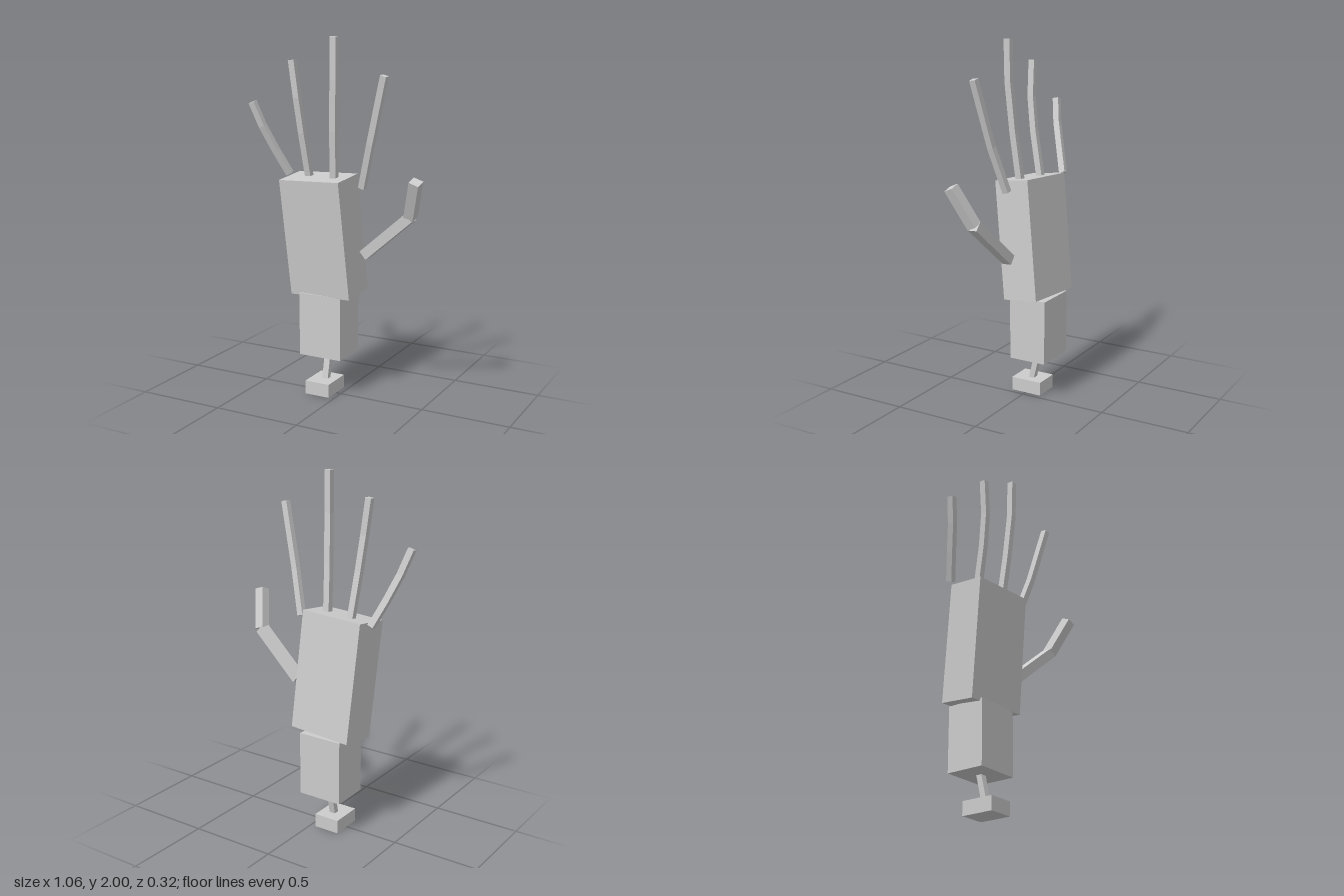
import * as THREE from 'three';

const material = new THREE.MeshStandardMaterial({ color: 0xcccccc, flatShading: true });

// Box running from point a to point b, with its depth side turned towards `facing`
function beam(name, a, b, width, depth, facing = [0, 0, 1], overlap = 0) {
  const start = new THREE.Vector3(...a);
  const end = new THREE.Vector3(...b);
  const up = end.clone().sub(start);
  const length = up.length();
  up.normalize();
  const right = up.clone().cross(new THREE.Vector3(...facing)).normalize();
  const front = right.clone().cross(up);
  const mesh = new THREE.Mesh(new THREE.BoxGeometry(width, length + overlap, depth), material);
  mesh.quaternion.setFromRotationMatrix(new THREE.Matrix4().makeBasis(right, up, front));
  mesh.position.copy(start).add(end).multiplyScalar(0.5);
  mesh.name = name;
  return mesh;
}

// Chain of box segments following the joint positions
function digit(name, joints, size) {
  const group = new THREE.Group();
  group.name = name;
  for (let i = 0; i < joints.length - 1; i++) {
    group.add(beam(`${name}Segment${i + 1}`, joints[i], joints[i + 1], size, size, [0, 0, 1], 0.003));
  }
  return group;
}

export function createModel() {
  const model = new THREE.Group();
  model.name = 'hand';

  // Base block, slanted post, forearm and tilted palm
  model.add(beam('base', [-0.105, 0, -0.003], [-0.105, 0.077, -0.003], 0.15, 0.185));
  model.add(beam('post', [-0.099, 0.07, -0.008], [-0.099, 0.225, -0.044], 0.036, 0.032));
  model.add(beam('forearm', [-0.099, 0.22, -0.045], [-0.099, 0.582, -0.045], 0.26, 0.22));
  model.add(beam('palm', [-0.096, 0.584, -0.046], [-0.126, 1.244, 0.026], 0.379, 0.211, [-0.054, -0.11, 0.99]));

  // Fingers from little to index, each curling forward
  model.add(digit('littleFinger', [
    [-0.357, 1.238, -0.056], [-0.415, 1.372, -0.005], [-0.468, 1.508, 0.043], [-0.513, 1.64, 0.073],
  ], 0.035));
  model.add(digit('ringFinger', [
    [-0.196, 1.24, 0.002], [-0.211, 1.487, 0.05], [-0.226, 1.677, 0.076], [-0.25, 1.875, 0.083],
  ], 0.035));
  model.add(digit('middleFinger', [
    [-0.024, 1.24, 0.032], [-0.01, 1.5, 0.062], [0.004, 1.775, 0.084], [0.006, 2, 0.087],
  ], 0.036));
  model.add(digit('indexFinger', [
    [0.14, 1.203, 0.018], [0.212, 1.447, 0.066], [0.309, 1.805, 0.109],
  ], 0.035));

  // Thumb reaching out sideways
  model.add(digit('thumb', [
    [0.152, 0.834, 0.002], [0.432, 1.072, 0.036], [0.5, 1.275, 0.128],
  ], 0.056));

  return model;
}
